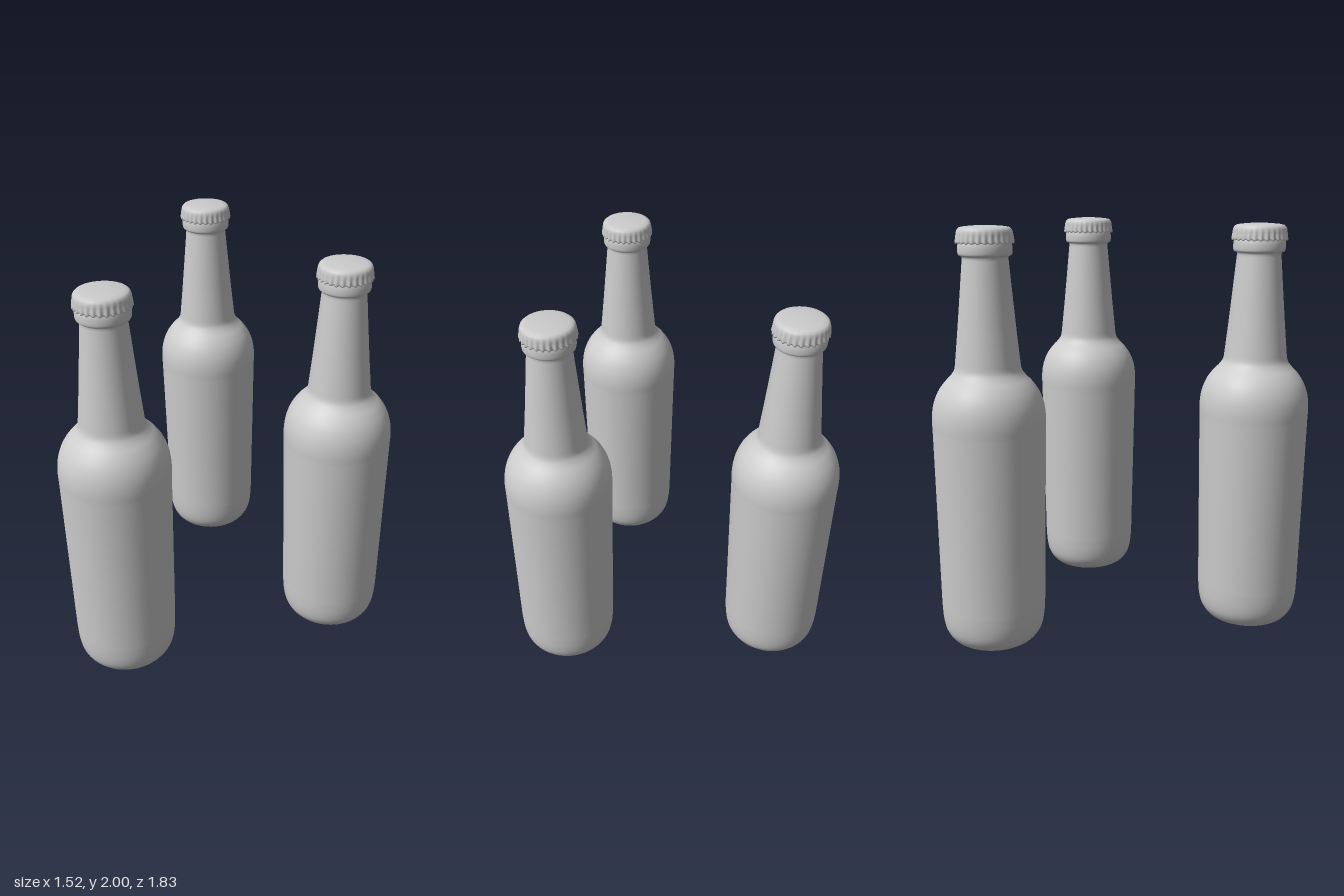
import * as THREE from 'three';

const material = new THREE.MeshStandardMaterial({ color: 0xcccccc });
const vec = ([x, y]) => new THREE.Vector2(x, y);

// Smooth profile sampled through a few radius/height points
const smooth = (points, count) => new THREE.SplineCurve(points.map(vec)).getPoints(count);

function glassGeometry() {
  const base = smooth([[0, 0.02], [0.07, 0.013], [0.12, 0.002], [0.16, 0.003], [0.2, 0.022],
    [0.232, 0.066], [0.246, 0.125], [0.251, 0.2]], 30);
  const shoulder = smooth([[0.265, 1.06], [0.266, 1.12], [0.258, 1.18], [0.238, 1.235],
    [0.208, 1.28], [0.175, 1.315], [0.156, 1.345], [0.15, 1.385]], 30);
  const neck = smooth([[0.136, 1.52], [0.121, 1.68], [0.11, 1.8], [0.105, 1.855]], 10);
  const lip = smooth([[0.108, 1.863], [0.12, 1.868], [0.124, 1.88], [0.124, 1.905],
    [0.12, 1.925], [0.115, 1.94]], 14);
  const profile = [...base, ...shoulder, ...neck, ...lip, vec([0.11, 1.97]), vec([0, 1.97])];
  return new THREE.LatheGeometry(profile, 64);
}

// Crown cap: a domed lathe whose skirt is crimped into flutes that fade out upward
function capGeometry() {
  const flutes = 28;
  const profile = [[0.116, 1.95], [0.12, 1.925], [0.13, 1.922], [0.131, 1.93], [0.129, 1.945],
    [0.128, 1.96], [0.127, 1.972], [0.123, 1.983], [0.114, 1.991], [0.095, 1.995],
    [0.05, 1.999], [0, 2]].map(vec);
  const geometry = new THREE.LatheGeometry(profile, flutes * 8);
  const pos = geometry.attributes.position;
  for (let i = 0; i < pos.count; i++) {
    const x = pos.getX(i), y = pos.getY(i), z = pos.getZ(i);
    const r = Math.hypot(x, z);
    if (r < 0.119) continue;
    const fade = THREE.MathUtils.clamp((1.978 - y) / 0.04, 0, 1);
    const wave = Math.cos(Math.atan2(z, x) * flutes) * fade;
    const k = 1 + 0.026 * wave;
    pos.setXYZ(i, x * k, y - (y < 1.935 ? 0.003 * wave : 0), z * k);
  }
  geometry.computeVertexNormals();
  // Share normals across the lathe seam
  const n = geometry.attributes.normal, rows = profile.length, last = pos.count - rows;
  for (let j = 0; j < rows; j++) {
    const sum = new THREE.Vector3().fromBufferAttribute(n, j)
      .add(new THREE.Vector3().fromBufferAttribute(n, last + j)).normalize();
    n.setXYZ(j, sum.x, sum.y, sum.z);
    n.setXYZ(last + j, sum.x, sum.y, sum.z);
  }
  return geometry;
}

export function createModel() {
  const model = new THREE.Group();
  model.name = 'bottles';
  const parts = { glassBody: glassGeometry(), crownCap: capGeometry() };

  // Three identical bottles standing apart
  [[-0.33, -0.65], [0.495, 0.12], [-0.497, 0.648]].forEach(([x, z], i) => {
    const bottle = new THREE.Group();
    bottle.name = `bottle${i + 1}`;
    for (const [name, geometry] of Object.entries(parts)) {
      const mesh = new THREE.Mesh(geometry, material);
      mesh.name = name;
      bottle.add(mesh);
    }
    bottle.position.set(x, 0, z);
    model.add(bottle);
  });
  return model;
}
